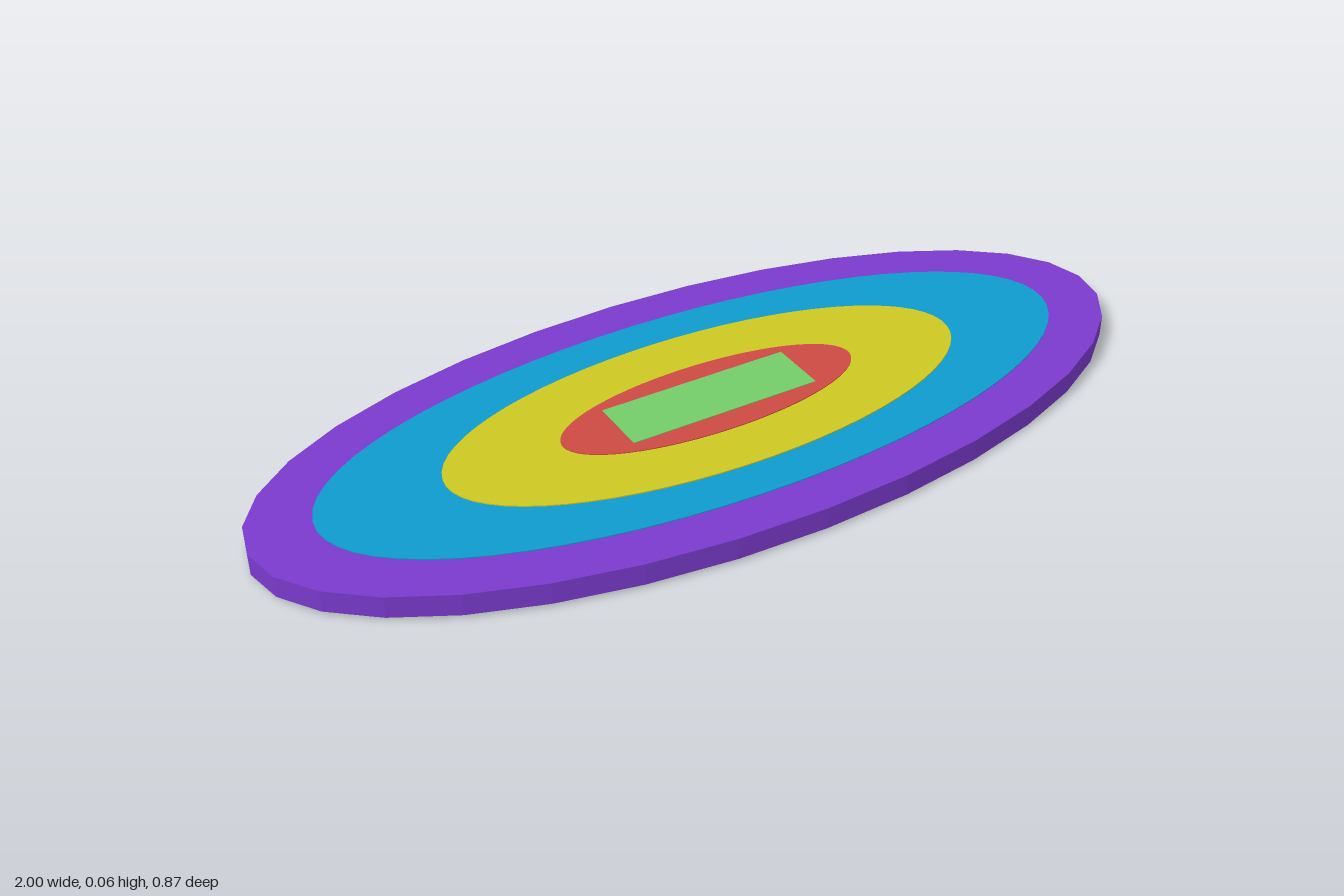
import * as THREE from 'three';

// Flat elliptical disc spanning y0..y1 with half-axes rx, rz
function disc(name, color, rx, rz, y0, y1, sides) {
  const geo = new THREE.CylinderGeometry(1, 1, y1 - y0, sides);
  geo.scale(rx, 1, rz);
  geo.translate(0, (y0 + y1) / 2, 0);
  const mesh = new THREE.Mesh(geo, new THREE.MeshStandardMaterial({ color, flatShading: true }));
  mesh.name = name;
  return mesh;
}

export function createModel() {
  const group = new THREE.Group();
  group.name = 'layeredOvalPlaque';

  // Nested ovals, each slightly thicker than the one around it
  group.add(
    disc('outerOval', 0x7a3acc, 1, 0.437, 0.006, 0.054, 32),
    disc('blueOval', 0x0f9bcc, 0.865, 0.336, 0.004, 0.056, 64),
    disc('yellowOval', 0xccc822, 0.6, 0.243, 0, 0.0585, 64),
    disc('redOval', 0xcc4a44, 0.346, 0.121, 0.01, 0.0605, 64)
  );

  // Central rectangular panel
  const panel = new THREE.Mesh(
    new THREE.BoxGeometry(0.438, 0.04, 0.135),
    new THREE.MeshStandardMaterial({ color: 0x74cc68 })
  );
  panel.name = 'centrePanel';
  panel.position.set(0, 0.042, -0.002);
  group.add(panel);

  return group;
}
